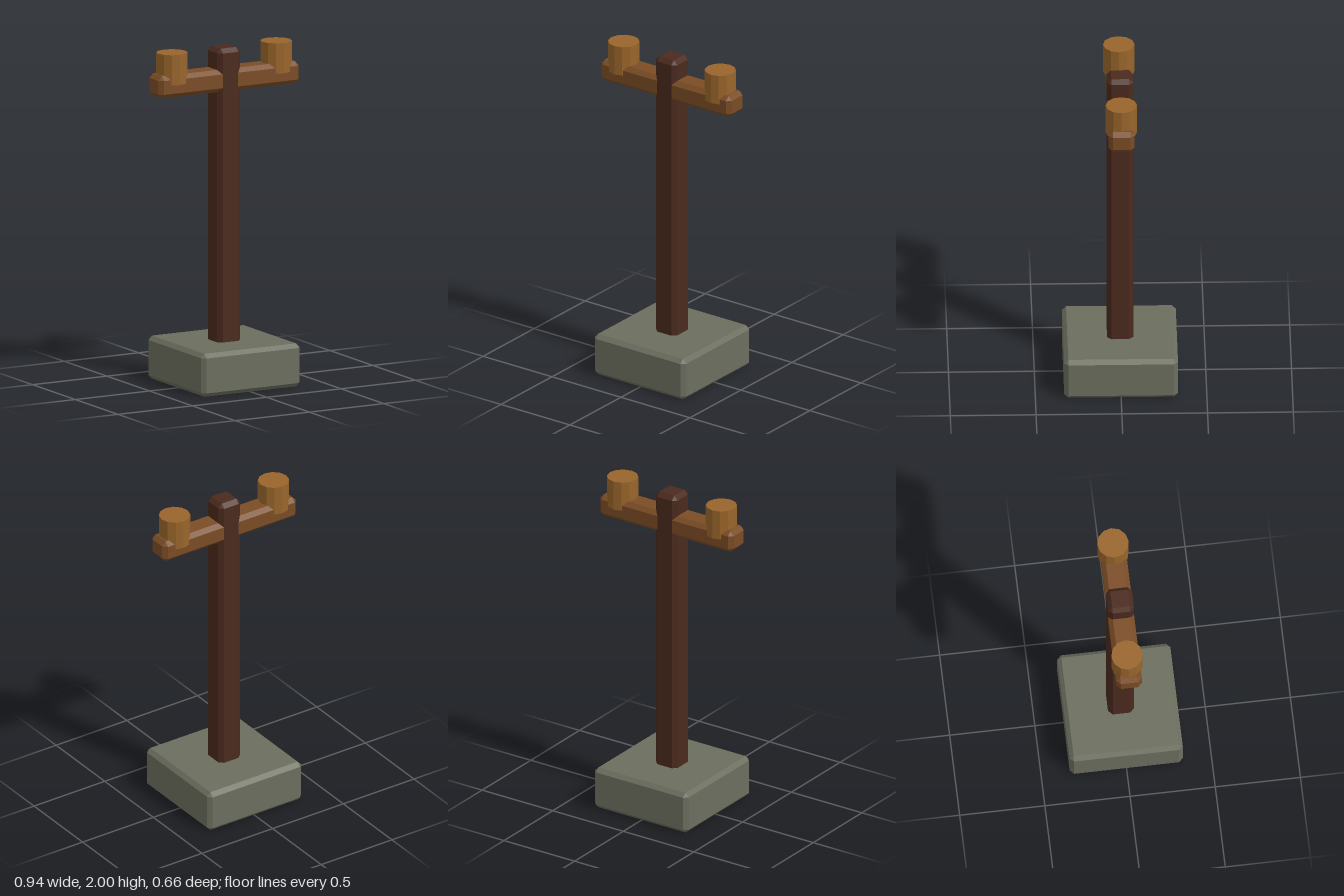
import * as THREE from 'three';
import { ConvexGeometry } from 'three/addons/geometries/ConvexGeometry.js';

const material = (color) => new THREE.MeshStandardMaterial({ color, flatShading: true });

// Box with every edge and corner cut by a flat chamfer c, standing on y0
function chamferedBox(name, w, h, d, c, y0, mat) {
  const points = [];
  const half = [w / 2, h / 2, d / 2];
  for (const sx of [-1, 1]) for (const sy of [-1, 1]) for (const sz of [-1, 1]) {
    for (let axis = 0; axis < 3; axis++) {
      // each corner becomes three points, one on each adjoining face
      const p = [sx, sy, sz].map((s, i) => s * (half[i] - (i === axis ? 0 : c)));
      points.push(new THREE.Vector3(...p));
    }
  }
  const mesh = new THREE.Mesh(new ConvexGeometry(points), mat);
  mesh.name = name;
  mesh.position.y = y0 + h / 2;
  return mesh;
}

export function createModel() {
  const model = new THREE.Group();
  model.name = 'postWithCrossbeam';

  const stone = material(0x6b6e5e);
  const darkWood = material(0x4a2a1d);
  const wood = material(0x7a4c25);
  const lightWood = material(0x99652b);

  // Stone foot, upright and crossbeam
  model.add(chamferedBox('base', 0.664, 0.256, 0.664, 0.024, 0, stone));
  model.add(chamferedBox('post', 0.153, 1.78, 0.153, 0.025, 0.22, darkWood));
  model.add(chamferedBox('crossbeam', 0.945, 0.132, 0.152, 0.025, 1.744, wood));

  // Twelve-sided pegs near both beam ends
  const pegGeometry = new THREE.CylinderGeometry(0.092, 0.092, 0.18, 12);
  for (const side of [-1, 1]) {
    const peg = new THREE.Mesh(pegGeometry, lightWood);
    peg.name = side > 0 ? 'leftPeg' : 'rightPeg';
    peg.position.set(side * 0.35, 1.91, 0);
    model.add(peg);
  }

  return model;
}
